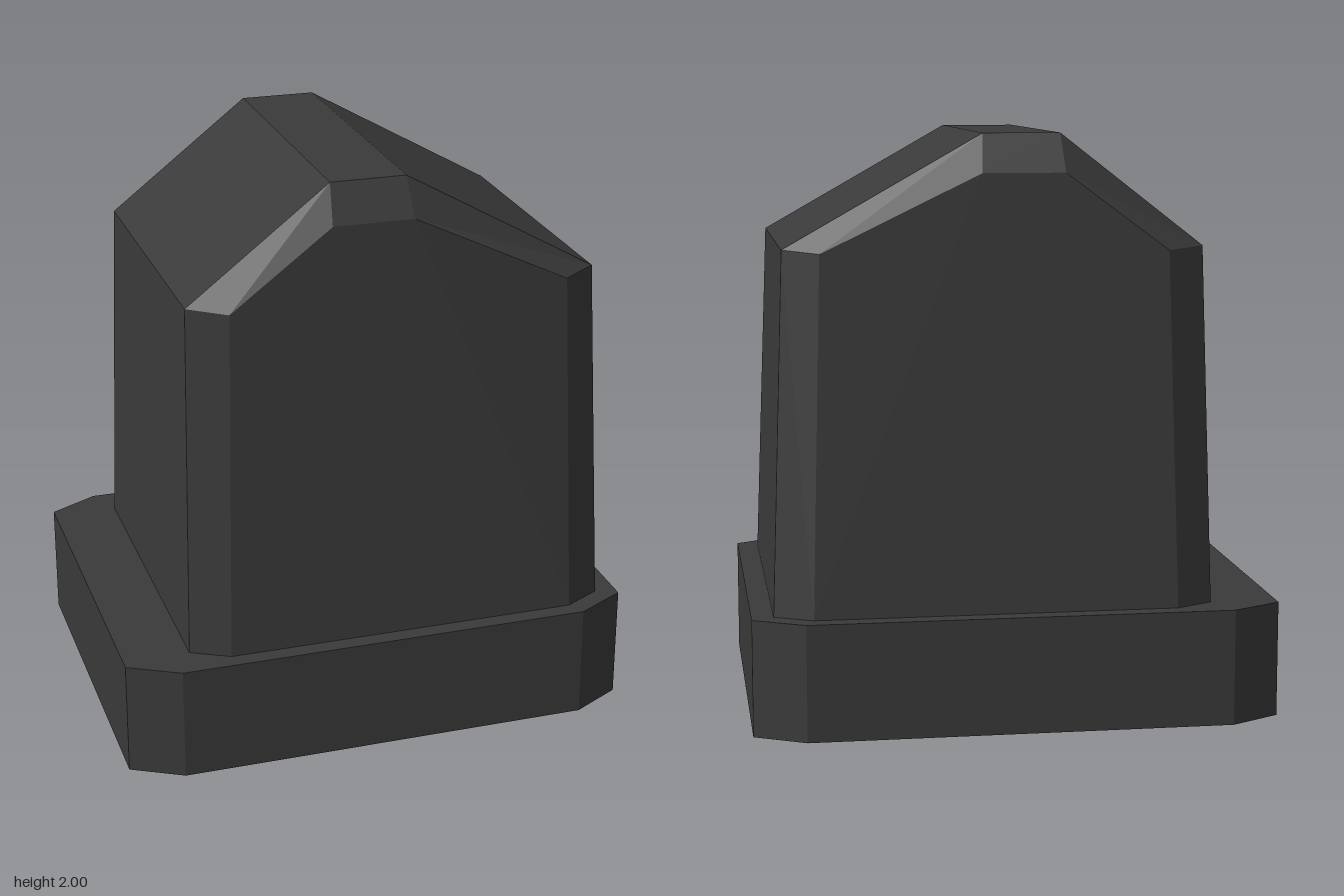
import * as THREE from 'three';

const stone = new THREE.MeshStandardMaterial({ color: 0x3a3a3a });
stone.name = 'dark stone';
stone.flatShading = true;
stone.side = THREE.DoubleSide;

// Joins cross-sections (lists of [x, y, z]) with quads; optionally fans the end caps
function loft(sections, closed, capped) {
  const n = sections[0].length;
  const index = [];
  for (let s = 0; s < sections.length - 1; s++) {
    for (let i = 0; i < (closed ? n : n - 1); i++) {
      const a = s * n + i, b = s * n + ((i + 1) % n);
      index.push(a, b, b + n, a, b + n, a + n);
    }
  }
  if (capped) {
    const last = (sections.length - 1) * n;
    for (let i = 1; i < n - 1; i++) {
      index.push(0, i + 1, i);
      index.push(last, last + i, last + i + 1);
    }
  }
  const geometry = new THREE.BufferGeometry();
  geometry.setAttribute('position', new THREE.Float32BufferAttribute(sections.flat(2), 3));
  geometry.setIndex(index);
  const flat = geometry.toNonIndexed();
  flat.computeVertexNormals();
  return flat;
}

// Rectangle with cut corners, counter-clockwise from above
function octagon(y, left, leftCut, right, rightCut, z, zCut) {
  return [
    [leftCut, y, z], [rightCut, y, z], [right, y, zCut], [right, y, -zCut],
    [rightCut, y, -z], [leftCut, y, -z], [left, y, -zCut], [left, y, zCut],
  ];
}

function addMesh(group, name, geometry) {
  const mesh = new THREE.Mesh(geometry, stone);
  mesh.name = name;
  group.add(mesh);
}

export function createModel() {
  const group = new THREE.Group();
  group.name = 'headstone';

  // Hollow plinth: walls, then the ledge running in to the foot of the slab
  addMesh(group, 'plinth', loft([
    octagon(0, -0.9, -0.725, 0.9, 0.725, 0.72, 0.625),
    octagon(0.4, -0.9, -0.725, 0.9, 0.725, 0.72, 0.625),
    octagon(0.4, -0.67, -0.54, 0.825, 0.695, 0.66, 0.59),
  ], true, false));

  // Tapered slab, open underneath: outer arch and the smaller bevelled face arch
  const outer = [
    [0.825, 0.4, 0.59], [0.78, 1.62, 0.525], [0.11, 2, 0.525],
    [-0.15, 2, 0.525], [-0.64, 1.62, 0.525], [-0.67, 0.4, 0.59],
  ];
  const face = [
    [0.695, 0.4, 0.66], [0.66, 1.61, 0.597], [0.12, 1.87, 0.588],
    [-0.16, 1.87, 0.588], [-0.51, 1.61, 0.597], [-0.54, 0.4, 0.66],
  ];
  const back = (arch) => arch.map(([x, y, z]) => [x, y, -z]);
  addMesh(group, 'slab', loft([back(face), back(outer), outer, face], false, true));

  return group;
}
